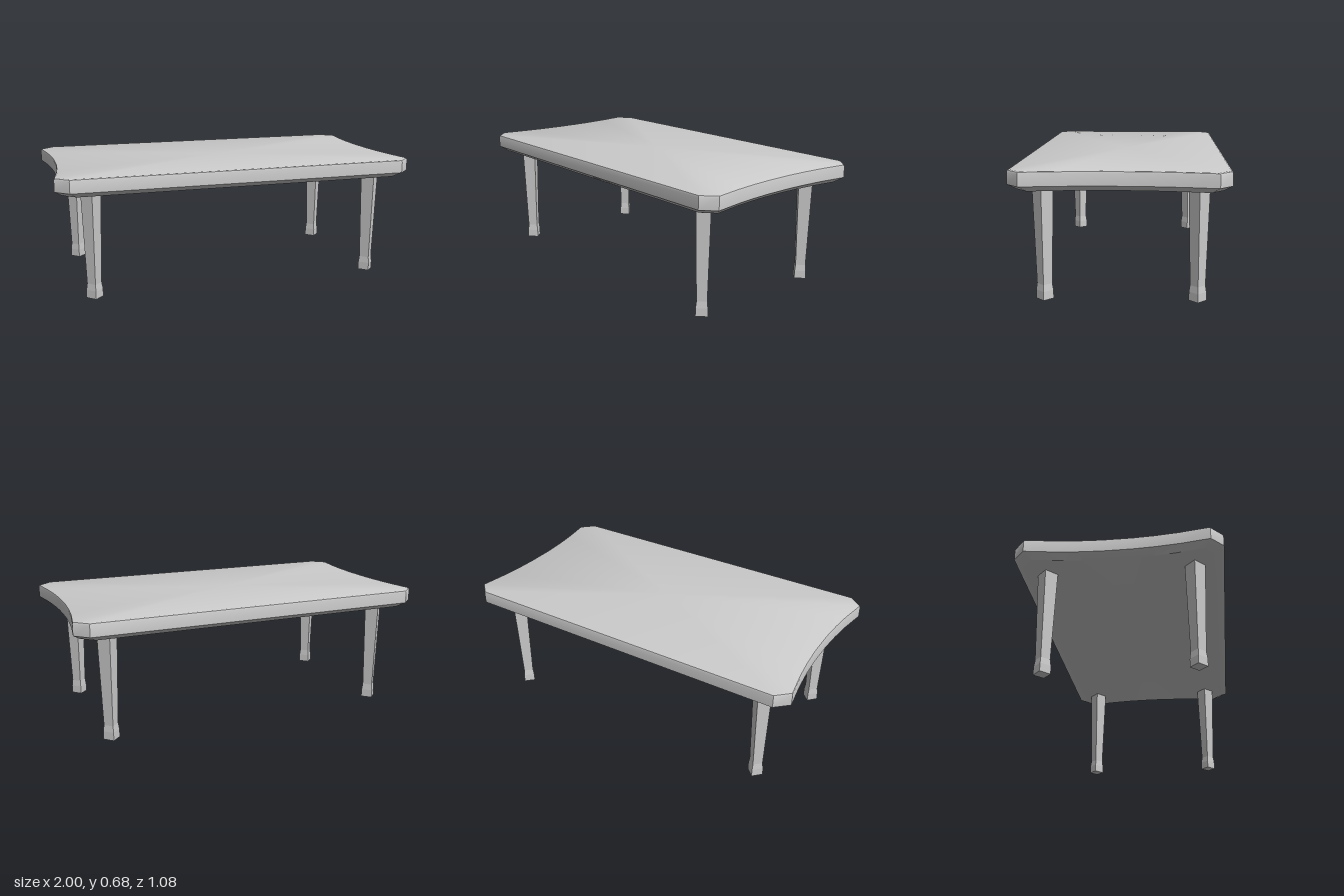
import * as THREE from 'three';
import { toCreasedNormals } from 'three/addons/utils/BufferGeometryUtils.js';

// Plan outline of the top, counter-clockwise seen from above: clipped corners and hollow ends
function planOutline() {
  const endZ = [0.475, 0.32, 0.2, 0.08, -0.08, -0.2, -0.32, -0.475];
  const half = [[0.93, 0.54]];
  for (const z of endZ) half.push([0.955 + 0.045 * (z / 0.475) ** 2, z]);
  half.push([0.93, -0.54]);
  return [...half, ...half.map(([x, z]) => [-x, -z])];
}

// Stacks scaled copies of the outline and closes both ends
function slab(outline, rings) {
  const n = outline.length, pos = [], idx = [];
  for (const { y, inset } of rings) {
    const sx = 1 - inset, sz = 1 - inset / 0.54;
    for (const [x, z] of outline) pos.push(x * sx, y, z * sz);
  }
  const last = (rings.length - 1) * n, bottom = rings.length * n, top = bottom + 1;
  pos.push(0, rings[0].y, 0, 0, rings[rings.length - 1].y, 0);
  for (let i = 0; i < n; i++) {
    const j = (i + 1) % n;
    for (let r = 0; r < last; r += n) {
      idx.push(r + i, r + j, r + n + j, r + i, r + n + j, r + n + i);
    }
    idx.push(bottom, j, i, top, last + i, last + j);
  }
  const geo = new THREE.BufferGeometry();
  geo.setAttribute('position', new THREE.Float32BufferAttribute(pos, 3));
  geo.setIndex(idx);
  return toCreasedNormals(geo, 0.65);
}

export function createModel() {
  const group = new THREE.Group();
  const topMaterial = new THREE.MeshStandardMaterial({ color: 0xcccccc });
  const legMaterial = new THREE.MeshStandardMaterial({ color: 0xcccccc, flatShading: true });

  // Table top: bevelled underside, upright edge, softened upper rim
  const tableTop = new THREE.Mesh(slab(planOutline(), [
    { y: 0.58, inset: 0.04 },
    { y: 0.608, inset: 0 },
    { y: 0.668, inset: 0 },
    { y: 0.677, inset: 0.003 },
    { y: 0.68, inset: 0.01 },
  ]), topMaterial);
  tableTop.name = 'tableTop';
  group.add(tableTop);

  // Legs: four-sided, set diagonally, tapering to a neck above a flared foot
  const profile = [[0, 0], [0.045, 0], [0.044, 0.045], [0.0385, 0.08], [0.0535, 0.582], [0, 0.582]];
  const legGeometry = new THREE.LatheGeometry(profile.map(([r, y]) => new THREE.Vector2(r, y)), 4);
  for (const [sx, side] of [[1, 'Left'], [-1, 'Right']]) {
    for (const [sz, end] of [[1, 'front'], [-1, 'back']]) {
      const leg = new THREE.Mesh(legGeometry, legMaterial);
      leg.name = `${end}${side}Leg`;
      leg.position.set(sx * 0.81, 0, sz * 0.388);
      group.add(leg);
    }
  }
  return group;
}
